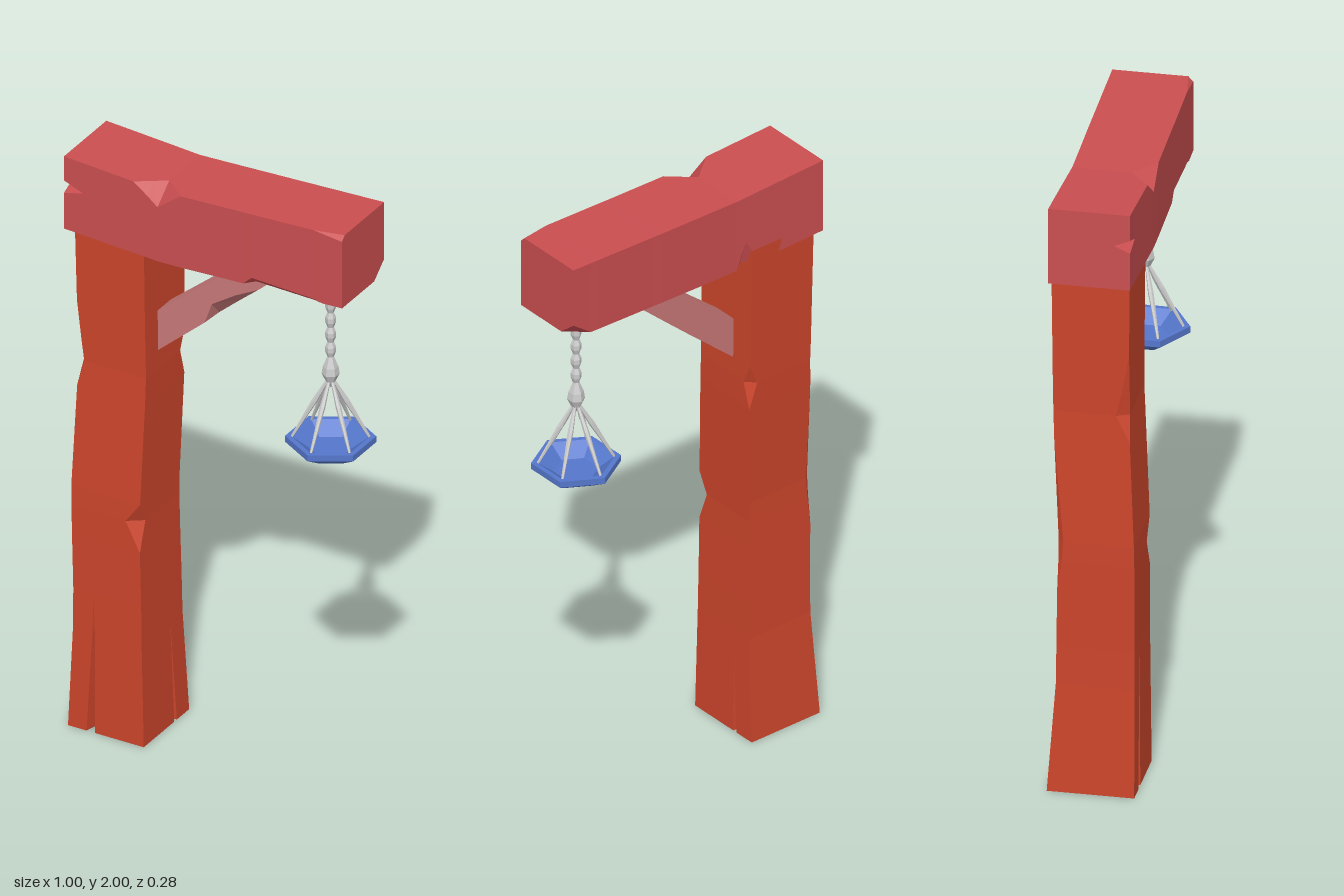
import * as THREE from 'three';

const mat = (color, side = THREE.FrontSide) =>
  new THREE.MeshStandardMaterial({ color, flatShading: true, side });

// Rectangular section, counter-clockwise. chips: corner -> [cut before, cut after];
// cracks: side -> [position 0..1, half width, depth]
function section([p0, p1, q0, q1], chips, cracks) {
  const c = [[p0, q0], [p1, q0], [p1, q1], [p0, q1]].map(a => new THREE.Vector2(...a));
  const pts = [];
  for (let k = 0; k < 4; k++) {
    const next = c[(k + 1) % 4], prev = c[(k + 3) % 4];
    const back = prev.clone().sub(c[k]).normalize();
    const along = next.clone().sub(c[k]).normalize();
    const [before, after] = chips[k] || [0, 0];
    pts.push(c[k].clone().addScaledVector(back, before), c[k].clone().addScaledVector(along, after));
    if (cracks[k]) {
      const [t, w, d] = cracks[k];
      const m = c[k].clone().lerp(next, t);
      const inward = new THREE.Vector2(-along.y, along.x);
      pts.push(m.clone().addScaledVector(along, -w), m.clone().addScaledVector(inward, d),
        m.clone().addScaledVector(along, w));
    }
  }
  return pts;
}

// Skin a timber through its sections; place(p, q, at) puts a section point in space
function timber(name, levels, place, material, capped) {
  const pos = [], index = [];
  const rings = levels.map(([, box, chips = {}, cracks = {}]) => section(box, chips, cracks));
  const n = rings[0].length;
  rings.forEach((r, j) => r.forEach(v => pos.push(...place(v.x, v.y, levels[j][0]))));
  for (let j = 0; j < rings.length - 1; j++) {
    for (let i = 0; i < n; i++) {
      const a = j * n + i, b = j * n + (i + 1) % n;
      index.push(a, b, b + n, a, b + n, a + n);
    }
  }
  if (capped) {
    for (const j of [0, rings.length - 1]) {
      const [p0, p1, q0, q1] = levels[j][1];
      const mid = pos.length / 3;
      pos.push(...place((p0 + p1) / 2, (q0 + q1) / 2, levels[j][0]));
      for (let i = 0; i < n; i++) {
        const a = j * n + i, b = j * n + (i + 1) % n;
        index.push(mid, ...(j ? [a, b] : [b, a]));
      }
    }
  }
  const g = new THREE.BufferGeometry();
  g.setAttribute('position', new THREE.Float32BufferAttribute(pos, 3));
  g.setIndex(index);
  g.computeVertexNormals();
  const mesh = new THREE.Mesh(g, material);
  mesh.name = name;
  return mesh;
}

const lathe = (name, profile, material) => {
  const mesh = new THREE.Mesh(
    new THREE.LatheGeometry(profile.map(p => new THREE.Vector2(...p)), 6), material);
  mesh.name = name;
  return mesh;
};

export function createModel() {
  const root = new THREE.Group();

  // Upright post: sections in (x, -z), stacked along y, split at the foot
  const split = (a, b) => ({ 0: [0.3, 0.015 * a, 0.06 * a], 1: [0.7, 0.008 * b, 0.05 * b] });
  const whole = split(0, 0);
  root.add(timber('post', [
    [0, [-0.48, -0.21, -0.137, 0.137], {}, split(1, 1)],
    [0.36, [-0.463, -0.219, -0.135, 0.112], {}, split(0.27, 0)],
    [0.49, [-0.463, -0.221, -0.134, 0.11], {}, whole],
    [0.68, [-0.467, -0.225, -0.135, 0.107], {}, whole],
    [0.78, [-0.469, -0.226, -0.135, 0.105], { 1: [0.05, 0.035], 3: [0.012, 0.012] }, whole],
    [0.85, [-0.47, -0.225, -0.134, 0.105], { 3: [0.018, 0.018] }, whole],
    [1.2, [-0.458, -0.216, -0.119, 0.118], {}, whole],
    [1.29, [-0.455, -0.215, -0.115, 0.121], { 0: [0.04, 0.02], 2: [0.03, 0.03] }, whole],
    [1.36, [-0.457, -0.216, -0.116, 0.122], { 0: [0.025, 0.013] }, whole],
    [1.5, [-0.46, -0.218, -0.117, 0.123], {}, whole],
    [1.78, [-0.466, -0.22, -0.12, 0.125], {}, whole],
  ], (p, q, at) => [p, at, -q], mat(0xcc452b, THREE.DoubleSide), false));

  // Top beam: sections in (-z, y), strung along x, with chipped edges
  const sideways = (p, q, at) => [at, q, -p];
  const nick = d => ({ 3: [0.42, 0.022 * d, 0.05 * d] });
  root.add(timber('beam', [
    [-0.5, [-0.128, 0.128, 1.745, 2], {}, nick(1)],
    [-0.43, [-0.129, 0.127, 1.742, 1.996], {}, nick(0)],
    [-0.25, [-0.132, 0.123, 1.734, 1.986], {}, nick(0)],
    [-0.2, [-0.133, 0.122, 1.732, 1.983], { 1: [0.03, 0.09], 3: [0.04, 0.033] }, nick(0)],
    [-0.163, [-0.134, 0.121, 1.73, 1.981], { 3: [0.072, 0.06] }, nick(0)],
    [-0.08, [-0.133, 0.122, 1.731, 1.983], {}, nick(0)],
    [0.14, [-0.13, 0.125, 1.738, 1.989], {}, nick(0)],
    [0.17, [-0.13, 0.125, 1.739, 1.99], { 0: [0.027, 0.03] }, nick(0)],
    [0.39, [-0.127, 0.127, 1.746, 1.997], { 0: [0.008, 0.008] }, nick(0)],
    [0.42, [-0.127, 0.127, 1.747, 1.998], { 3: [0.005, 0.005] }, nick(0)],
    [0.49, [-0.126, 0.128, 1.749, 2], { 1: [0.06, 0.05], 3: [0.016, 0.016] }, nick(0)],
  ], sideways, mat(0xca4e50), true));

  // Diagonal brace, ends buried in post and beam
  root.add(timber('brace', [
    [-0.225, [-0.04, 0.04, 1.347, 1.488]],
    [-0.05, [-0.04, 0.04, 1.5, 1.633]],
    [-0.025, [-0.04, 0.04, 1.522, 1.654], { 0: [0.05, 0.045] }],
    [0.06, [-0.04, 0.04, 1.598, 1.724], { 0: [0.03, 0.03] }],
    [0.14, [-0.04, 0.04, 1.67, 1.79]],
    [0.24, [-0.04, 0.04, 1.758, 1.86]],
  ], sideways, mat(0xc87878), true));

  // Hanging dish assembly
  const hanging = new THREE.Group();
  hanging.name = 'hangingDish';
  hanging.position.x = 0.375;
  root.add(hanging);
  const metal = mat(0xcccccc, THREE.DoubleSide);

  // Chain of faceted links ending in a larger bead
  const chain = [[0, 1.375], [0.014, 1.395], [0.028, 1.425], [0.024, 1.45], [0.01, 1.485]];
  for (let i = 0; i < 5; i++) {
    const y = 1.485 + i * 0.052;
    chain.push([0.017, y + 0.018], [0.017, y + 0.034], [0.01, y + 0.052]);
  }
  hanging.add(lathe('chain', chain, metal));

  // Six rods from the bead to the rim
  const up = new THREE.Vector3(0, 1, 0);
  const rodProfile = [[0.004, -0.5], [0.006, -0.2], [0.009, 0.15], [0.005, 0.5]];
  for (let i = 0; i < 6; i++) {
    const a = i * Math.PI / 3;
    const top = new THREE.Vector3(Math.sin(a) * 0.01, 1.4, Math.cos(a) * 0.01);
    const foot = new THREE.Vector3(Math.sin(a) * 0.122, 1.195, Math.cos(a) * 0.122);
    const dir = top.clone().sub(foot);
    const rod = lathe('rod', rodProfile, metal);
    rod.position.copy(top).add(foot).multiplyScalar(0.5);
    rod.scale.y = dir.length();
    rod.quaternion.setFromUnitVectors(up, dir.normalize());
    hanging.add(rod);
  }

  // Hexagonal dish with a shallow hollow
  hanging.add(lathe('dish', [[0, 1.143], [0.075, 1.143], [0.14, 1.182], [0.14, 1.203],
    [0.122, 1.203], [0.07, 1.165], [0, 1.165]], mat(0x5577cc, THREE.DoubleSide)));

  return root;
}
